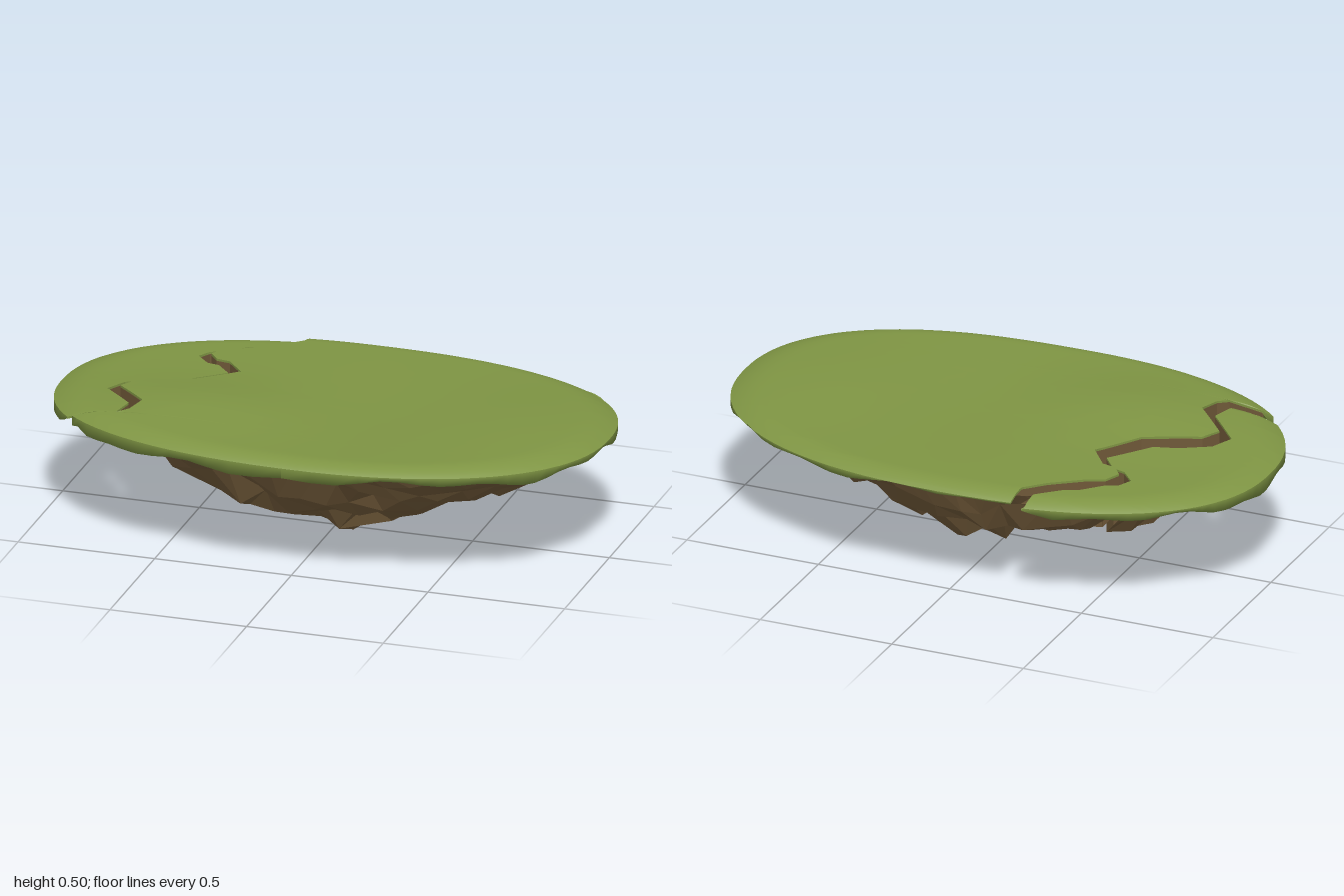
import * as THREE from 'three';

const B = 0.615, N = 2.3; // half depth and roundness of the oval outline
const ROCK = 0.97; // rock outline relative to the turf
const { lerp } = THREE.MathUtils;

// crack edges as [x, z], running back to front
const mainCrack = [[-0.275, -0.62], [-0.275, -0.598], [-0.285, -0.525], [-0.355, -0.457],
  [-0.47, -0.377], [-0.527, -0.355], [-0.553, -0.297], [-0.52, -0.254], [-0.468, -0.243], [-0.4, -0.158],
  [-0.516, -0.02], [-0.71, 0.065], [-0.746, 0.13], [-0.623, 0.26], [-0.645, 0.34],
  [-0.677, 0.372], [-0.8, 0.376], [-2, 0.378]];
const shardCrack = [[-0.32, -0.607], [-0.33, -0.53], [-0.41, -0.46], [-0.46, -0.44], [-0.53, -0.37],
  [-0.575, -0.35], [-0.6, -0.3], [-0.55, -0.245], [-0.505, -0.235], [-0.45, -0.17], [-0.57, -0.04],
  [-0.655, -0.015], [-0.757, 0.045], [-0.795, 0.125], [-0.675, 0.255], [-0.695, 0.345], [-0.8, 0.35], [-0.87, 0.352]];

// rock depth along four directions as [radius, depth]
const depthRight = [[0, 0.36], [0.15, 0.36], [0.25, 0.33], [0.4, 0.25], [0.5, 0.22], [0.62, 0.21], [0.75, 0.15], [0.9, 0.04], [0.97, 0]];
const depthLeft = [[0, 0.36], [0.1, 0.33], [0.2, 0.28], [0.3, 0.28], [0.48, 0.24], [0.52, 0.26], [0.57, 0.255], [0.63, 0.16], [0.75, 0.07], [0.9, 0.02], [0.97, 0]];
const depthFront = [[0, 0.36], [0.12, 0.37], [0.24, 0.31], [0.36, 0.31], [0.49, 0.25], [0.6, 0.13], [0.73, 0.04], [0.97, 0]];
const depthBack = [[0, 0.36], [0.11, 0.37], [0.24, 0.34], [0.33, 0.27], [0.47, 0.28], [0.6, 0.19], [0.73, 0.03], [0.97, 0]];

// piecewise linear lookup; k is the column holding the input
function lookup(table, v, k) {
  if (v <= table[0][k]) return table[0][1 - k];
  for (let i = 1; i < table.length; i++) {
    const p = table[i - 1], q = table[i];
    if (v <= q[k]) return lerp(p[1 - k], q[1 - k], (v - p[k]) / (q[k] - p[k]));
  }
  return table[table.length - 1][1 - k];
}
const hash = (a, b) => { const s = Math.sin(a * 127.1 + b * 311.7) * 43758.5453; return s - Math.floor(s) - 0.5; };
const gauss = (x, z, cx, cz, wx, wz) => Math.exp(-((x - cx) ** 2 / wx + (z - cz) ** 2 / wz));
const ovalX = (z, s) => s * Math.pow(Math.max(0, 1 - Math.pow(Math.abs(z) / (B * s), N)), 1 / N);
const radius = (x, z) => Math.pow(Math.pow(Math.abs(x), N) + Math.pow(Math.abs(z) / B, N), 1 / N);

// gently rolling turf that drops at the rim
function topY(x, z) {
  const bump = 0.03 * gauss(x, z, -0.45, 0.2, 0.12, 0.06) + 0.018 * gauss(x, z, 0.75, 0, 0.1, 0.15)
    - 0.01 * gauss(x, z, 0.12, 0.1, 0.06, 0.15);
  const edge = Math.max(0, (radius(x, z) - 0.88) / 0.12);
  return 0.468 + bump + 0.018 * z - 0.028 * edge * edge;
}

// craggy underside with two low points
function bottomY(x, z, rough) {
  const w = z / B, r = radius(x, z), q = x * x + w * w + 1e-6;
  const dx = lookup(x > 0 ? depthRight : depthLeft, r, 0);
  const dz = lookup(z > 0 ? depthFront : depthBack, r, 0);
  let d = (dx * x * x + dz * w * w + 0.36e-6) / q * (1 + rough);
  d = lerp(d, 0.465, gauss(x, z, 0.04, 0.075, 0.006, 0.005));
  d = lerp(d, 0.435, gauss(x, z, 0.15, -0.07, 0.006, 0.005));
  return Math.max(0, 0.438 - d);
}

const piece = {
  main: { z0: -1, z1: 1, bounds: (z, s) => [Math.max(lookup(mainCrack, z, 1), -ovalX(z, s)), ovalX(z, s)], crack: mainCrack },
  shard: { z0: -0.596, z1: 0.352, bounds: (z, s) => { const l = -ovalX(z, s); return [l, Math.max(l, lookup(shardCrack, z, 1))]; }, crack: shardCrack },
};

// rows across the piece, always including the crack corners
function rowsOf(p, s, count) {
  const lo = Math.max(p.z0, -B) * s, hi = Math.min(p.z1, B * s);
  const zs = [lo, hi, ...p.crack.map(c => c[1])];
  for (let i = 1; i < count; i++) zs.push(-B * s * Math.cos(Math.PI * i / count));
  const sorted = zs.filter(z => z >= lo && z <= hi).sort((a, b) => a - b);
  return sorted.filter((z, i) => i === 0 || z - sorted[i - 1] > 1e-4);
}

function geometry(pos, idx) {
  const g = new THREE.BufferGeometry();
  g.setAttribute('position', new THREE.Float32BufferAttribute(pos.flat(), 3));
  g.setIndex(idx);
  g.computeVertexNormals();
  return g;
}

// grid over rows of points, plus its outline loop
function sheet(rows, down) {
  const pos = rows.flat(), idx = [], n = rows.length, w = rows[0].length;
  for (let i = 0; i < n - 1; i++) for (let j = 0; j < w - 1; j++) {
    const a = i * w + j, b = a + 1, c = a + w, d = c + 1;
    if (!down) idx.push(a, c, b, b, c, d);
    else if (hash(i, j) > 0) idx.push(a, b, c, b, d, c);
    else idx.push(a, b, d, a, d, c);
  }
  const loop = [...rows.map(r => r[0]), ...rows.map(r => r[w - 1]).reverse()];
  return { geo: geometry(pos, idx), loop };
}

// turf points, closer together towards the sides
function turfRows(p, cols) {
  return rowsOf(p, 1, 44).map(z => {
    const [l, r] = p.bounds(z, 1);
    return Array.from({ length: cols + 1 }, (_, j) => {
      const x = lerp(l, r, (j / cols + (1 - Math.cos(Math.PI * j / cols)) / 2) / 2);
      return [x, topY(x, z), z];
    });
  });
}

// rock points: rows follow the crack corners there and even out away from it
function rockRows(p, cols) {
  const zs = rowsOf(p, ROCK, 6), n = zs.length - 1;
  return zs.map((z0, i) => Array.from({ length: cols + 1 }, (_, j) => {
    const f = i / n, even = lerp(zs[0], zs[n], lerp(f, (1 - Math.cos(Math.PI * f)) / 2, 0.4));
    const away = p === piece.main ? Math.min(1, j / 4) : Math.min(1, (cols - j) / 3);
    let z = lerp(z0, even, away);
    const row = p.bounds(z0, ROCK), own = p.bounds(z, ROCK), t = j / cols;
    const l = p === piece.main ? row[0] : own[0], r = p === piece.main ? own[1] : row[1];
    let x = lerp(l, r, t);
    const inner = i > 0 && i < n && j > 0 && j < cols;
    if (inner) {
      x += (r - l) / cols * 0.45 * hash(i * 3, j * 5);
      z += 0.03 * hash(i * 7, j * 2) * away;
    }
    return [x, bottomY(x, z, inner ? 0.34 * hash(i + 11, j + 4) * Math.max(away, 0.4) : 0), z];
  }));
}

// bands joining successive closed loops, listed from top to bottom
function bands(loops) {
  const n = loops[0].length, idx = [];
  for (let k = 0; k < loops.length - 1; k++) for (let i = 0; i < n; i++) {
    const j = (i + 1) % n, t = k * n, u = t + n;
    idx.push(u + i, u + j, t + j, u + i, t + j, t + i);
  }
  return geometry(loops.flat(), idx);
}

function buildPiece(name, p, grassCols, rockCols, grassMat, rockMat) {
  const g = new THREE.Group();
  g.name = name;
  const add = (geo, mat, part) => { const m = new THREE.Mesh(geo, mat); m.name = part; g.add(m); };

  // turf surface
  const turf = sheet(turfRows(p, grassCols), false);
  add(turf.geo, grassMat, 'grassTop');

  // turf edge: hanging hem on the rim that fades to a thin lip along the crack
  const rimAmount = (x, z) => Math.abs(x) < ovalX(z, 1) - 0.004 ? 0
    : Math.min(1, Math.min(...p.crack.map(c => Math.hypot(x - c[0], z - c[1]))) / 0.08);
  const hem = turf.loop.map(([x, y, z]) => {
    const a = Math.atan2(z / B, x);
    const low = 0.416 + 0.013 * Math.cos(a) + 0.01 * Math.sin(7 * a) + 0.008 * Math.sin(17 * a);
    return [x, lerp(y - 0.006, low, rimAmount(x, z)), z];
  });
  const tuck = turf.loop.map(([x, y, z]) => {
    const m = rimAmount(x, z), k = 1 - 0.045 * m;
    return [x * k, lerp(y - 0.008, 0.438, m), z * k];
  });
  add(bands([turf.loop, hem, tuck]), grassMat, 'grassEdge');

  // faceted rock below, closed up to the turf
  const rock = sheet(rockRows(p, rockCols), true);
  add(rock.geo, rockMat, 'rockUnderside');
  const cap = rock.loop.map(([x, y, z]) => [x, Math.max(y, topY(x, z) - 0.008), z]);
  add(bands([cap, rock.loop]), rockMat, 'rockSide');
  return g;
}

export function createModel() {
  const grassMat = new THREE.MeshStandardMaterial({ color: 0x7e9443, side: THREE.DoubleSide });
  const rockMat = new THREE.MeshStandardMaterial({ color: 0x6f5838, flatShading: true, side: THREE.DoubleSide });
  const island = new THREE.Group();
  island.name = 'floatingIsland';
  const shard = buildPiece('brokenShard', piece.shard, 14, 5, grassMat, rockMat);
  shard.position.y = -0.016; // the broken piece has sunk a little
  island.add(buildPiece('mainIsland', piece.main, 36, 17, grassMat, rockMat), shard);
  return island;
}
